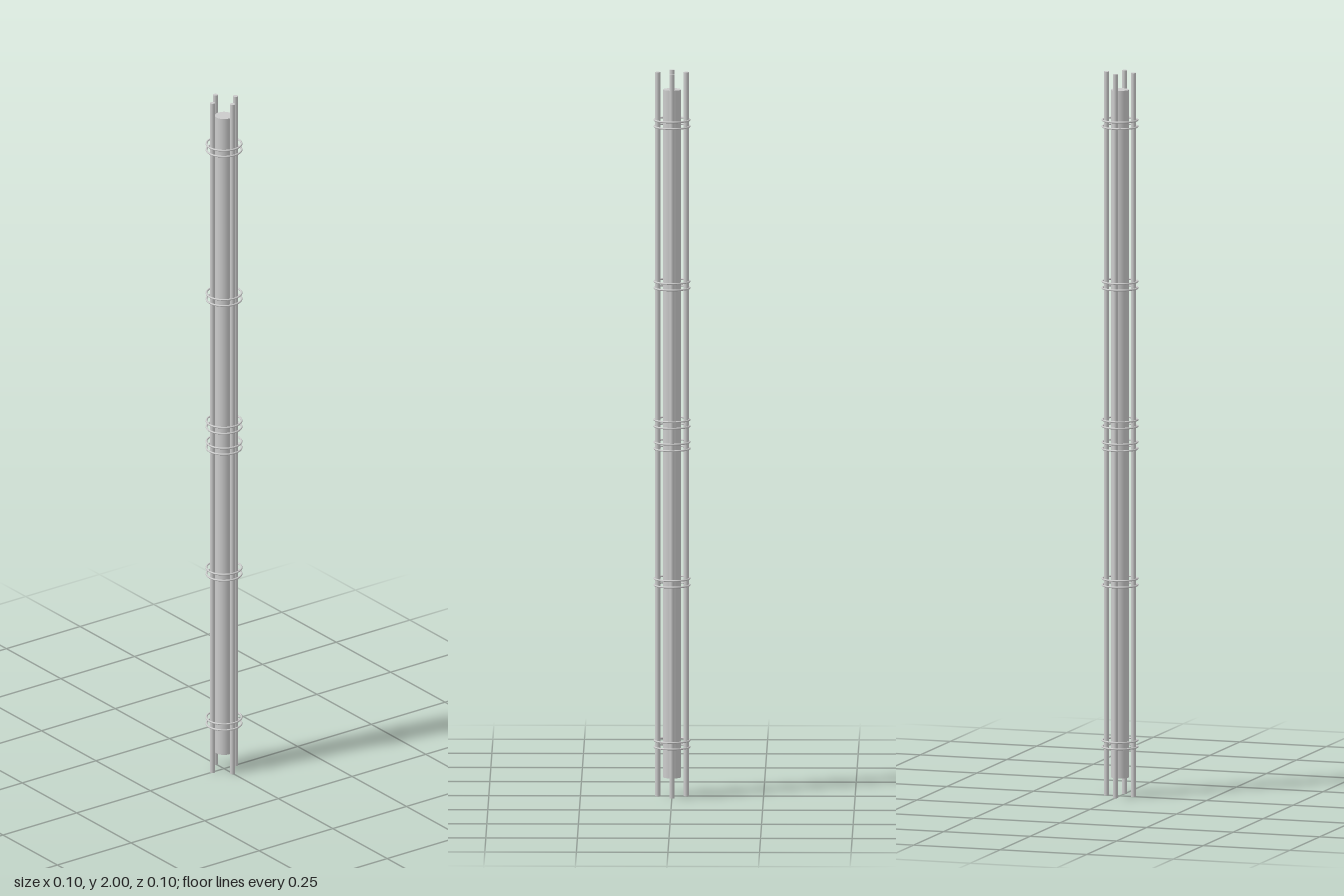
import * as THREE from 'three';

export function createModel() {
  const model = new THREE.Group();
  const grey = new THREE.MeshStandardMaterial({ color: 0xcccccc });

  const add = (name, geometry, x, y, z) => {
    const mesh = new THREE.Mesh(geometry, grey);
    mesh.name = name;
    mesh.position.set(x, y, z);
    model.add(mesh);
  };

  // Central core, slightly shorter than the rods
  add('core', new THREE.CylinderGeometry(0.025, 0.025, 1.9, 48), 0, 1.002, 0);

  // Four full-height rods around the core
  const rod = new THREE.CylinderGeometry(0.007, 0.007, 2, 24);
  for (let i = 0; i < 4; i++) {
    const a = (i * Math.PI) / 2;
    add('rod', rod, 0.039 * Math.cos(a), 1, 0.039 * Math.sin(a));
  }

  // Pairs of thin hoops binding the rods
  const hoop = new THREE.TorusGeometry(0.048, 0.0025, 12, 64).rotateX(Math.PI / 2);
  for (const y of [0.145, 0.592, 0.969, 1.031, 1.413, 1.859]) {
    for (const dy of [-0.009, 0.009]) add('hoop', hoop, 0, y + dy, 0);
  }

  return model;
}
